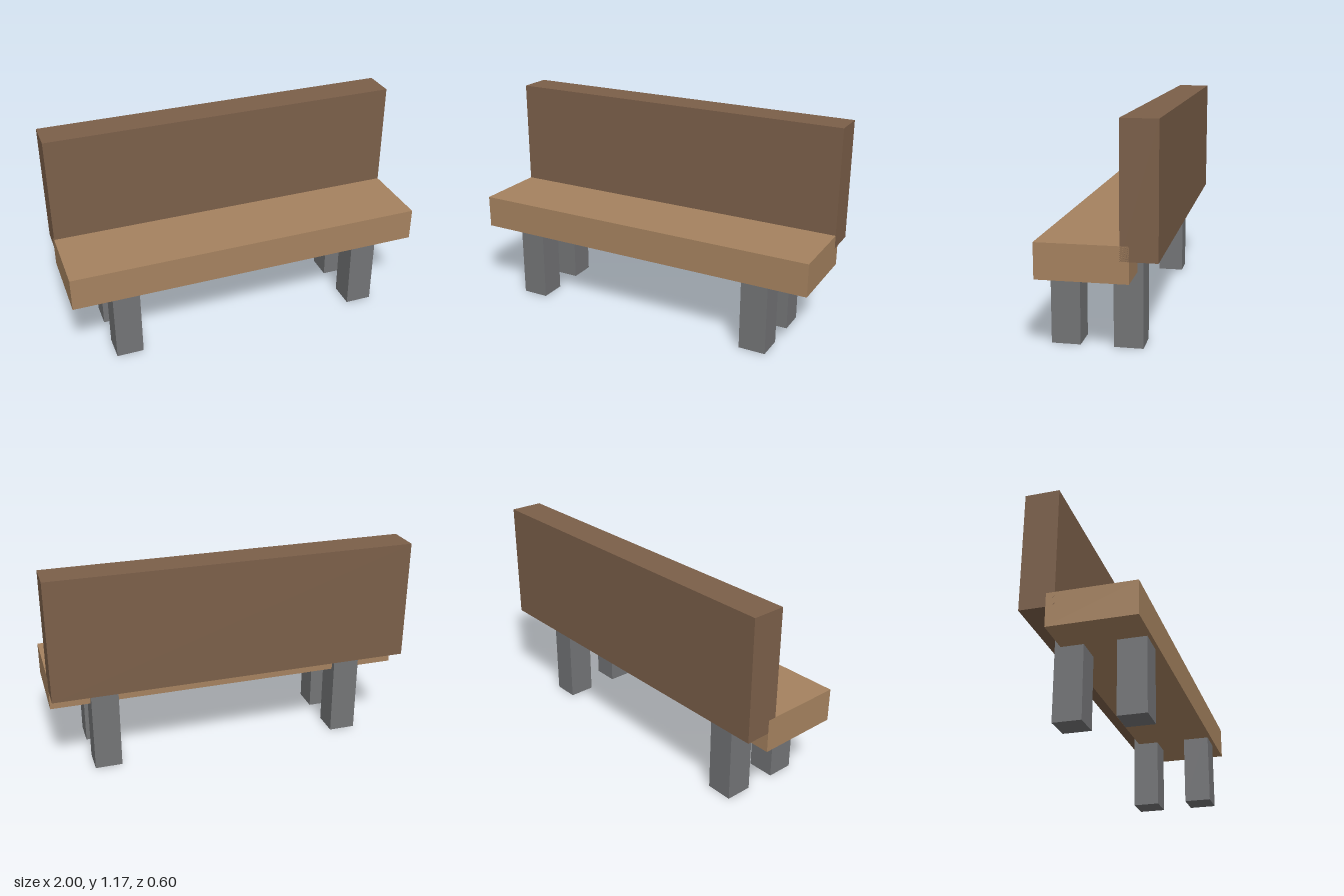
import * as THREE from 'three';

// Box given by its extents on each axis
function block(name, color, [x0, x1], [y0, y1], [z0, z1]) {
  const mesh = new THREE.Mesh(
    new THREE.BoxGeometry(x1 - x0, y1 - y0, z1 - z0),
    new THREE.MeshStandardMaterial({ color })
  );
  mesh.position.set((x0 + x1) / 2, (y0 + y1) / 2, (z0 + z1) / 2);
  mesh.name = name;
  return mesh;
}

export function createModel() {
  const bench = new THREE.Group();
  bench.name = 'bench';

  // Seat plank and the thick backrest overlapping its rear edge
  bench.add(block('seat', 0xa5825f, [-1, 1], [0.395, 0.577], [-0.16, 0.3]));
  bench.add(block('backrest', 0x7b5f49, [-1, 1], [0.503, 1.168], [-0.298, -0.115]));

  // Four square legs; the rear pair stands slightly proud of the seat
  const rows = { front: [0.13, 0.28], rear: [-0.19, -0.04] };
  for (const [row, z] of Object.entries(rows)) {
    bench.add(block(row + 'LeftLeg', 0x737476, [0.633, 0.783], [0, 0.467], z));
    bench.add(block(row + 'RightLeg', 0x737476, [-0.783, -0.633], [0, 0.467], z));
  }
  return bench;
}
